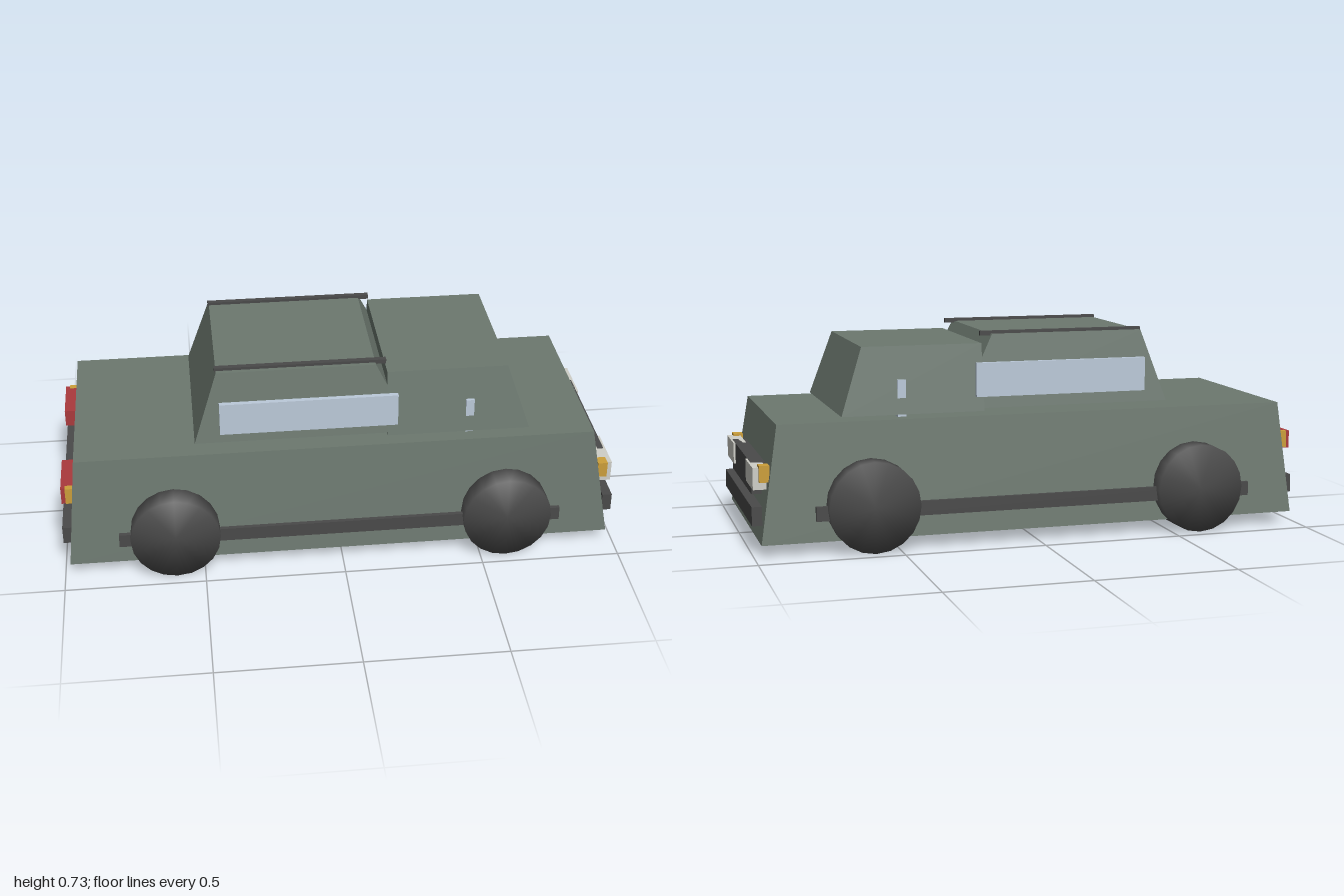
import * as THREE from 'three';
import { mergeVertices } from 'three/addons/utils/BufferGeometryUtils.js';

const mat = (color) => new THREE.MeshStandardMaterial({ color, flatShading: true });

export function createModel() {
  const car = new THREE.Group();
  car.name = 'car';
  const paint = mat(0x6c786f), dark = mat(0x4a4a4a), glass = mat(0xbccada);
  const red = mat(0xaa3a3d), amber = mat(0xcc9f3a), lamp = mat(0xcfcfc8);
  const tyre = new THREE.MeshStandardMaterial({ color: 0x4a4a4a });

  const add = (name, geometry, material) => {
    const mesh = new THREE.Mesh(geometry, material);
    mesh.name = name;
    car.add(mesh);
    return mesh;
  };

  // Box given by its limits on each axis
  const box = (name, material, [x0, x1], [y0, y1], [z0, z1]) =>
    add(name, new THREE.BoxGeometry(x1 - x0, y1 - y0, z1 - z0), material)
      .position.set((x0 + x1) / 2, (y0 + y1) / 2, (z0 + z1) / 2);

  // Same box on both sides of the car
  const pair = (name, material, x, y, [z0, z1]) => {
    box(name + 'Left', material, x, y, [z0, z1]);
    box(name + 'Right', material, x, y, [-z1, -z0]);
  };

  // Box whose top is drawn in: limits in x and half width at bottom and top
  const tapered = (name, [y0, y1], bottom, top) => {
    const g = new THREE.BoxGeometry(1, 1, 1);
    const p = g.attributes.position;
    for (let i = 0; i < p.count; i++) {
      const up = p.getY(i) > 0;
      const [x0, x1, w] = up ? top : bottom;
      p.setXYZ(i, p.getX(i) > 0 ? x1 : x0, up ? y1 : y0, Math.sign(p.getZ(i)) * w);
    }
    g.computeVertexNormals();
    add(name, g, paint);
  };

  // Body and the two cabin sections
  tapered('body', [0.042, 0.445], [-0.98, 0.975, 0.405], [-0.94, 0.91, 0.36]);
  tapered('rearCabin', [0.465, 0.72], [-0.515, 0.26, 0.317], [-0.43, 0.13, 0.273]);
  tapered('frontCabin', [0.455, 0.69], [0.17, 0.68, 0.32], [0.17, 0.6, 0.278]);

  // Windows and roof rails
  box('frontGlass', glass, [0.45, 0.48], [0.446, 0.575], [-0.31, 0.31]);
  pair('sideWindow', glass, [-0.425, 0.203], [0.507, 0.627], [0.317, 0.335]);
  pair('roofRail', dark, [-0.435, 0.168], [0.714, 0.73], [0.238, 0.257]);

  // Sills and bumpers
  pair('sideTrim', dark, [-0.8, 0.79], [0.117, 0.167], [0.408, 0.423]);
  box('frontBumper', dark, [0.965, 1], [0.102, 0.168], [-0.362, 0.362]);
  box('rearBumper', dark, [-1, -0.965], [0.107, 0.172], [-0.362, 0.362]);

  // Grille and lights
  box('grille', dark, [0.935, 0.985], [0.19, 0.3], [-0.252, 0.252]);
  pair('headlight', lamp, [0.945, 0.992], [0.223, 0.3], [0.166, 0.346]);
  pair('frontIndicator', amber, [0.937, 0.972], [0.25, 0.308], [0.322, 0.363]);
  pair('tailLight', red, [-0.993, -0.95], [0.272, 0.336], [0.17, 0.355]);
  pair('rearIndicator', amber, [-0.978, -0.945], [0.276, 0.337], [0.34, 0.363]);

  // Wheels, with normals shared between rim and faces
  let wheel = new THREE.CylinderGeometry(0.159, 0.159, 0.116, 20);
  wheel.rotateX(Math.PI / 2);
  wheel.deleteAttribute('uv');
  wheel.deleteAttribute('normal');
  wheel = mergeVertices(wheel);
  wheel.computeVertexNormals();
  for (const [end, x] of [['front', 0.592], ['rear', -0.6]]) {
    for (const [side, s] of [['Left', 1], ['Right', -1]]) {
      add(end + 'Wheel' + side, wheel, tyre).position.set(x, 0.159, s * 0.398);
    }
  }
  return car;
}
